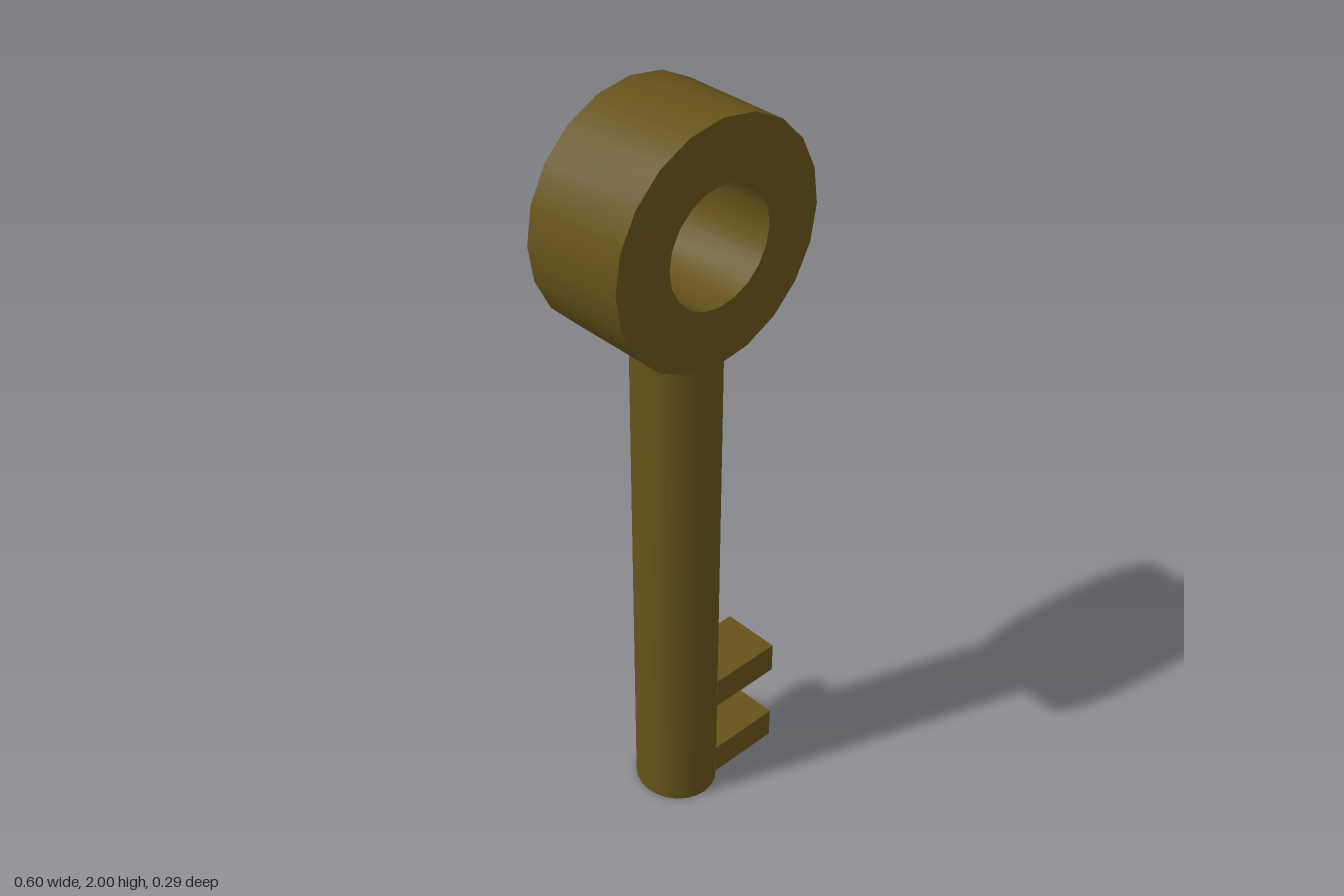
import * as THREE from 'three';
import { toCreasedNormals } from 'three/addons/utils/BufferGeometryUtils.js';

export function createModel() {
  const key = new THREE.Group();
  key.name = 'key';
  const material = new THREE.MeshStandardMaterial({ color: 0x665319 });

  const add = (name, geometry, x, y, z) => {
    const mesh = new THREE.Mesh(geometry, material);
    mesh.name = name;
    mesh.position.set(x, y, z);
    key.add(mesh);
    return mesh;
  };

  // Thick ring handle: a rectangular section turned around the z axis
  const outer = 0.302, inner = 0.15, half = 0.143;
  const section = [
    [outer, -half], [outer, half], [inner, half], [inner, -half], [outer, -half],
  ].map(([r, h]) => new THREE.Vector2(r, h));
  const ring = toCreasedNormals(new THREE.LatheGeometry(section, 20), 0.5);
  ring.rotateX(Math.PI / 2);
  add('handleRing', ring, 0, 1.7, 0.001).rotation.x = 0.008;

  // Round shaft, its top end buried in the ring
  const shaftHeight = 1.44;
  const shaft = new THREE.CylinderGeometry(0.107, 0.107, shaftHeight, 24);
  shaft.scale(1, 1, 1.06);
  add('shaft', shaft, -0.001, shaftHeight / 2, 0.006);

  // Two teeth on the left side of the shaft
  for (const [name, y] of [['lowerTooth', 0.053], ['upperTooth', 0.3]]) {
    add(name, new THREE.BoxGeometry(0.21, 0.088, 0.166), 0.175, y, 0.008);
  }
  return key;
}
